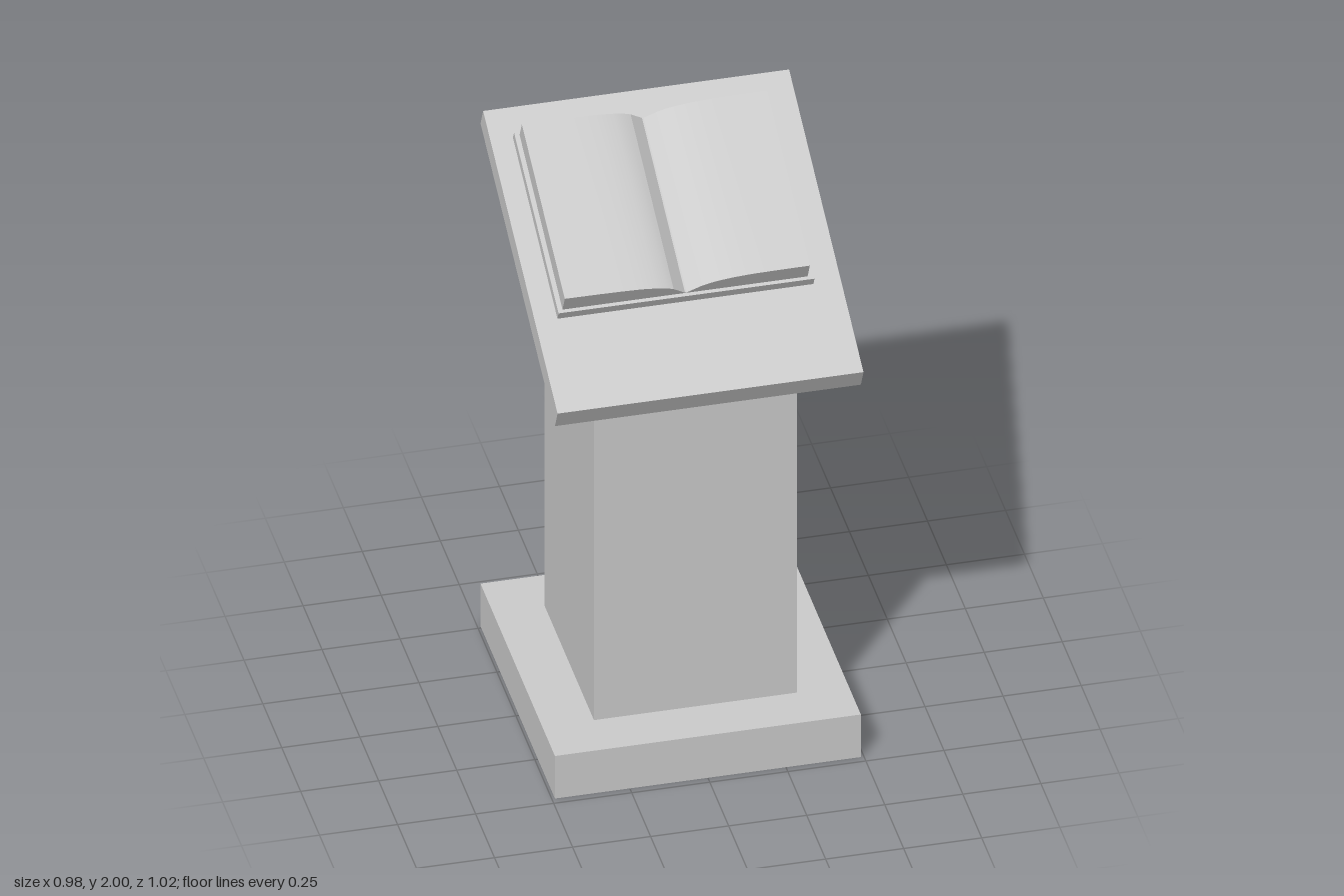
import * as THREE from 'three';
import { toCreasedNormals } from 'three/addons/utils/BufferGeometryUtils.js';

const material = new THREE.MeshStandardMaterial({ color: 0xcccccc });

function addMesh(parent, name, geometry) {
  const mesh = new THREE.Mesh(geometry, material);
  mesh.name = name;
  parent.add(mesh);
  return mesh;
}

// Box given by its minimum and maximum corners
function addBox(parent, name, [x0, y0, z0], [x1, y1, z1]) {
  const geometry = new THREE.BoxGeometry(x1 - x0, y1 - y0, z1 - z0);
  geometry.translate((x0 + x1) / 2, (y0 + y1) / 2, (z0 + z1) / 2);
  return addMesh(parent, name, geometry);
}

function extrude(points, depth) {
  const shape = new THREE.Shape(points.map(([x, y]) => new THREE.Vector2(x, y)));
  return new THREE.ExtrudeGeometry(shape, { depth, bevelEnabled: false });
}

export function createModel() {
  const model = new THREE.Group();
  model.name = 'lectern';

  addBox(model, 'base', [-0.49, 0, -0.51], [0.49, 0.16, 0.475]);

  // Column: side profile with a sloping top, extruded across the width
  const column = extrude([[-0.31, 0.16], [0.345, 0.16], [0.345, 1.808], [-0.31, 1.482]], 0.65);
  column.translate(0, 0, -0.325);
  column.rotateY(Math.PI / 2);
  addMesh(model, 'column', column);

  // Cross on the back: right half outline mirrored to the left
  const half = [[0.065, 1.045], [0.065, 1.305], [0.22, 1.305], [0.22, 1.435], [0.065, 1.435], [0.065, 1.57]];
  const mirrored = half.map(([x, y]) => [-x, y]).reverse();
  const cross = extrude([...half, ...mirrored], 0.057);
  cross.translate(0, 0, -0.4);
  addMesh(model, 'backCross', cross);

  // Sloping top; local y = 0 is the upper face of the board
  const top = new THREE.Group();
  top.name = 'slopingTop';
  top.position.set(0, 1.715, 0.0175);
  top.rotation.x = Math.atan2(0.49, 0.985);
  model.add(top);
  addBox(top, 'readingBoard', [-0.49, -0.078, -0.55], [0.49, 0, 0.55]);

  // Open book: cover and curved page block with a central valley
  addBox(top, 'bookCover', [-0.42, 0.009, -0.437], [0.4, 0.042, 0.221]);
  const pages = extrude([
    [-0.405, 0.043], [0.38, 0.043], [0.38, 0.11], [0.28, 0.109], [0.2, 0.107],
    [0.14, 0.102], [0.09, 0.093], [0.06, 0.084], [0.035, 0.073], [0.015, 0.06],
    [-0.008, 0.045], [-0.013, 0.045], [-0.053, 0.078], [-0.075, 0.088],
    [-0.11, 0.097], [-0.16, 0.104], [-0.22, 0.107], [-0.3, 0.109],
  ].concat([[-0.405, 0.11]]), 0.635);
  pages.translate(0, 0, -0.425);
  addMesh(top, 'bookPages', toCreasedNormals(pages, 0.2));

  return model;
}
